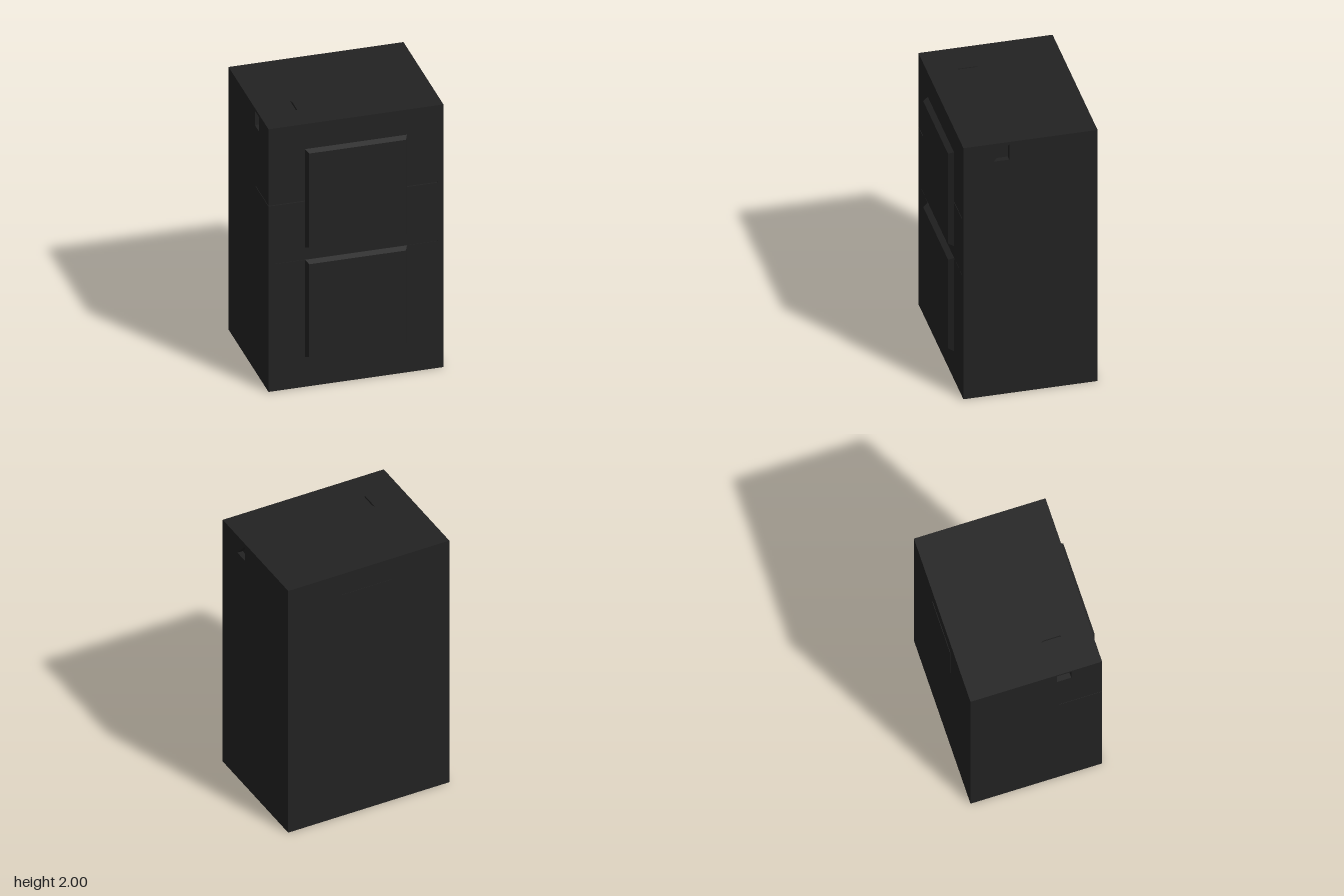
import * as THREE from 'three';

const HALF = 0.614, BACK = -0.482, FRONT = 0.448, H = 2, SKIN = 0.04, CAP = 0.02;

export function createModel() {
  const model = new THREE.Group();
  model.name = 'cabinet';
  const black = new THREE.MeshStandardMaterial({ color: 0x222222 });
  black.name = 'charcoal black';

  const add = (name, geometry, x = 0, y = 0, z = 0) => {
    const mesh = new THREE.Mesh(geometry, black);
    mesh.name = name;
    mesh.position.set(x, y, z);
    model.add(mesh);
  };
  const poly = (points) => points.map(([a, b]) => new THREE.Vector2(a, b));

  // Side profile in (z, y), with thin seams cut into the front edge: [y, depth, height]
  const profile = (top, seams, hole) => {
    const pts = [[BACK, 0], [FRONT, 0]];
    for (const [y, depth, h] of seams) {
      pts.push([FRONT, y - h / 2], [FRONT - depth, y - h / 2], [FRONT - depth, y + h / 2], [FRONT, y + h / 2]);
    }
    pts.push([FRONT, top], [BACK, top]);
    const shape = new THREE.Shape(poly(pts));
    if (hole) shape.holes.push(new THREE.Path(poly(hole)));
    return shape;
  };
  // Extrudes a side profile from xRight towards -x
  const slab = (name, shape, xRight, width) => {
    const g = new THREE.ExtrudeGeometry(shape, { depth: width, bevelEnabled: false });
    add(name, g.rotateY(-Math.PI / 2), xRight);
  };

  // Body core and the two side skins with their recessed grips
  const inner = HALF - SKIN;
  slab('bodyCore', profile(H - CAP, [[0.968, 0.004, 0.003], [1.415, 0.012, 0.008]]), inner, inner * 2);
  slab('leftSide', profile(H, [], [[0.24, 1.86], [0.13, 1.86], [0.13, 1.98]]), HALF, SKIN);
  slab('rightSide', profile(H, [[1.415, 0.3, 0.006]],
    [[0.23, 1.87], [0.13, 1.87], [0.13, 1.98], [0.23, 1.98]]), -inner, SKIN);

  // Top with a narrow slot
  const top = new THREE.Shape(poly([[-inner, -FRONT], [inner, -FRONT], [inner, -BACK], [-inner, -BACK]]));
  top.holes.push(new THREE.Path(poly([[-0.358, -0.24], [-0.358, -0.1], [-0.349, -0.12], [-0.349, -0.24]])));
  const topGeometry = new THREE.ExtrudeGeometry(top, { depth: CAP, bevelEnabled: false });
  add('top', topGeometry.rotateX(-Math.PI / 2), 0, H - CAP);

  // Raised front panels with sloping edges
  const panel = (name, y0, y1) => {
    const w = 0.715, h = y1 - y0, d = 0.037, inset = 0.018;
    const g = new THREE.BoxGeometry(w, h, d).toNonIndexed();
    const p = g.attributes.position;
    for (let i = 0; i < p.count; i++) {
      if (p.getZ(i) > 0) {
        p.setX(i, p.getX(i) - Math.sign(p.getX(i)) * inset);
        p.setY(i, p.getY(i) - Math.sign(p.getY(i)) * inset);
      }
    }
    g.computeVertexNormals();
    add(name, g, 0, (y0 + y1) / 2, FRONT + d / 2);
  };
  panel('upperPanel', 1.06, 1.81);
  panel('lowerPanel', 0.225, 0.967);

  // Barely raised plate on the back
  add('backPlate', new THREE.BoxGeometry(0.38, 0.41, 0.006), 0.015, 1.625, BACK);

  return model;
}
